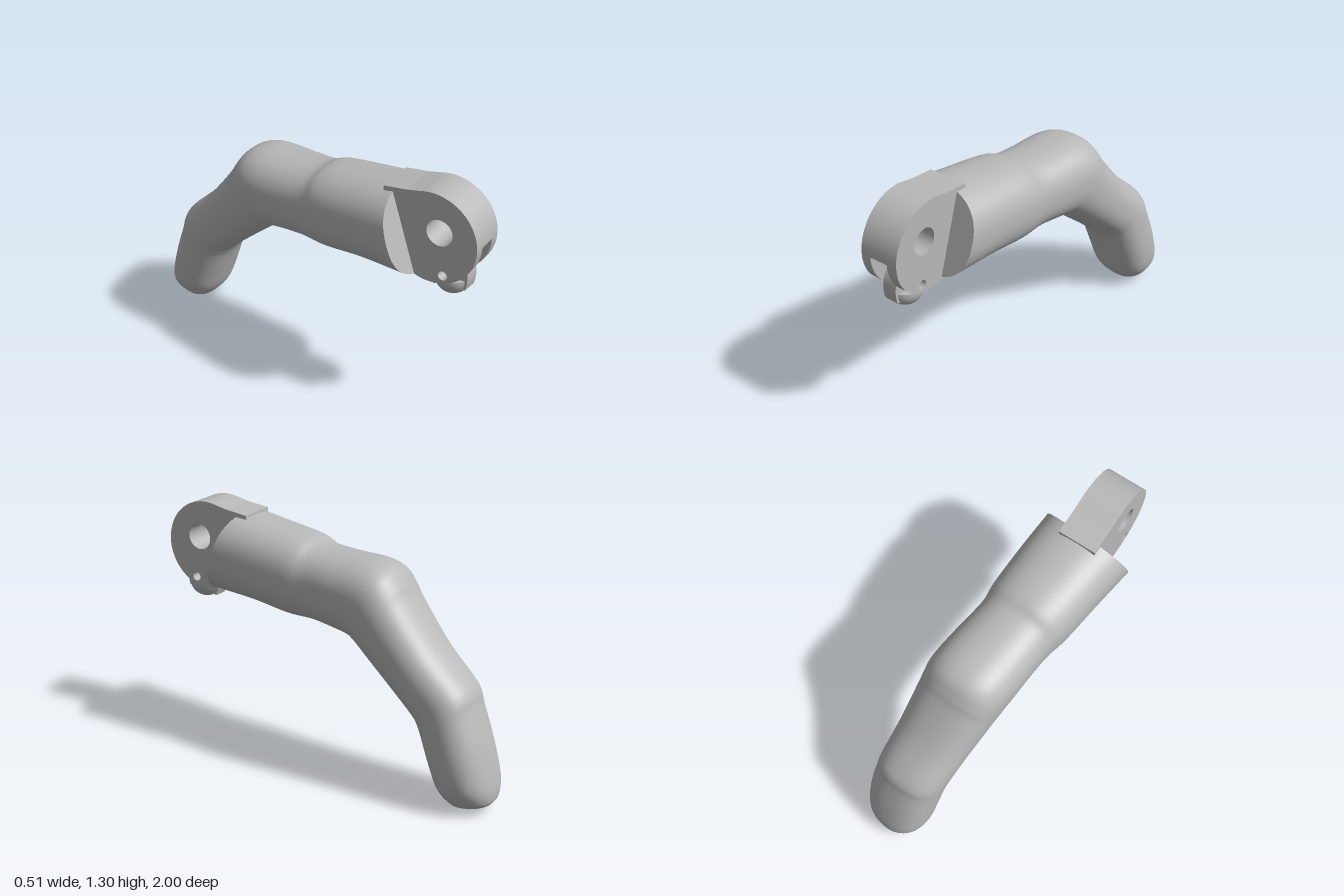
import * as THREE from 'three';

const grey = new THREE.MeshStandardMaterial({ color: 0xb8b8b8 });
grey.name = 'grey plastic';

// Finger sections: top z, top y, bottom z, bottom y, right x, left x
const SECTIONS = [
  [0.55, 1.262, 0.69, 0.835, -0.26, 0.23],
  [0.35, 1.235, 0.42, 0.82, -0.24, 0.23],
  [0.14, 1.205, 0.2, 0.79, -0.222, 0.225],
  [0.05, 1.172, 0.05, 0.788, -0.2, 0.213],
  [-0.1, 1.16, -0.08, 0.775, -0.195, 0.225],
  [-0.28, 1.155, -0.18, 0.757, -0.195, 0.235],
  [-0.38, 1.125, -0.215, 0.737, -0.19, 0.24],
  [-0.44, 1.06, -0.25, 0.71, -0.183, 0.24],
  [-0.49, 0.985, -0.3, 0.668, -0.173, 0.24],
  [-0.65, 0.79, -0.45, 0.54, -0.148, 0.238],
  [-0.8, 0.65, -0.56, 0.44, -0.133, 0.24],
  [-0.85, 0.59, -0.59, 0.4, -0.128, 0.243],
  [-0.875, 0.52, -0.615, 0.35, -0.122, 0.247],
  [-0.94, 0.35, -0.665, 0.22, -0.113, 0.253],
  [-0.99, 0.18, -0.71, 0.11, -0.1, 0.243],
  [-1.0, 0.1, -0.765, 0.04, -0.06, 0.205],
  [-0.985, 0.055, -0.81, 0.01, -0.01, 0.155],
  [-0.92, 0.025, -0.87, 0.01, 0.065, 0.08],
];

// Smooth loft of rounded cross-sections along the bent finger
function loftFinger() {
  const tops = new THREE.CatmullRomCurve3(
    SECTIONS.map((s) => new THREE.Vector3(s[4], s[1], s[0])), false, 'catmullrom', 0.5);
  const bottoms = new THREE.CatmullRomCurve3(
    SECTIONS.map((s) => new THREE.Vector3(s[5], s[3], s[2])), false, 'catmullrom', 0.5);
  const steps = 102, sides = 64;
  const pos = [], index = [];
  const round = (v) => Math.sign(v) * Math.abs(v) ** (2 / 2.4);
  for (let i = 0; i <= steps; i++) {
    const a = tops.getPoint(i / steps), b = bottoms.getPoint(i / steps);
    for (let j = 0; j < sides; j++) {
      const t = (j / sides) * Math.PI * 2;
      const c = round(Math.cos(t)), s = round(Math.sin(t));
      pos.push(
        (a.x + b.x) / 2 + ((b.x - a.x) / 2) * c,
        Math.max(0, (a.y + b.y) / 2 + ((a.y - b.y) / 2) * s),
        (a.z + b.z) / 2 + ((a.z - b.z) / 2) * s,
      );
      if (i < steps) {
        const p = i * sides + j, q = i * sides + ((j + 1) % sides);
        index.push(p, p + sides, q, q, p + sides, q + sides);
      }
    }
  }
  // Rounded tip closes on a single point
  const last = steps * sides, tip = pos.length / 3;
  pos.push(0.0725, 0.016, -0.896);
  for (let j = 0; j < sides; j++) index.push(last + j, tip, last + ((j + 1) % sides));
  const skin = new THREE.BufferGeometry();
  skin.setAttribute('position', new THREE.Float32BufferAttribute(pos, 3));
  skin.setIndex(index);
  skin.computeVertexNormals();

  // Flat slanted face at the open end
  const facePos = pos.slice(0, sides * 3), faceIndex = [];
  facePos.push(-0.015, 1.0485, 0.62);
  for (let j = 0; j < sides; j++) faceIndex.push(sides, j, (j + 1) % sides);
  const face = new THREE.BufferGeometry();
  face.setAttribute('position', new THREE.Float32BufferAttribute(facePos, 3));
  face.setIndex(faceIndex);
  face.computeVertexNormals();
  return { skin, face };
}

function mesh(name, geometry, parent) {
  const m = new THREE.Mesh(geometry, grey);
  m.name = name;
  parent.add(m);
  return m;
}

// Extrudes a (z, y) outline across x
function slab(shape, x0, x1) {
  const g = new THREE.ExtrudeGeometry(shape, { depth: x1 - x0, bevelEnabled: false, curveSegments: 40 });
  g.rotateY(-Math.PI / 2);
  g.translate(x1, 0, 0);
  return g;
}

// Rounded hinge outline with two pin holes; the middle layer has a front slot
function hingeShape(slotted) {
  const rad = THREE.MathUtils.degToRad;
  const cz = 0.757, cy = 1.069, r = 0.238;
  const s = new THREE.Shape();
  s.moveTo(0.48, 1.0);
  s.lineTo(0.5, 1.266);
  s.lineTo(0.62, 1.282);
  if (slotted) {
    s.absarc(cz, cy, r, rad(105), 0, true);
    s.lineTo(0.9, 1.04);
    s.lineTo(0.875, 0.95);
    s.lineTo(0.861, 0.86);
    s.absarc(cz, cy, r, rad(-64), rad(-108), true);
  } else {
    s.absarc(cz, cy, r, rad(105), rad(-108), true);
  }
  s.lineTo(0.6, 0.87);
  s.closePath();
  for (const [z, y, hole] of [[0.8, 1.11, 0.068], [0.83, 0.885, 0.024]]) {
    const h = new THREE.Path();
    h.absarc(z, y, hole, 0, Math.PI * 2, false);
    s.holes.push(h);
  }
  return s;
}

export function createModel() {
  const model = new THREE.Group();
  model.name = 'jointedFinger';

  const { skin, face } = loftFinger();
  mesh('fingerBody', skin, model);
  mesh('fingerEndFace', face, model);

  // Hinge knuckle, turned slightly sideways
  const hinge = new THREE.Group();
  hinge.name = 'hinge';
  hinge.rotation.y = 0.065;
  hinge.position.x = -0.052;
  model.add(hinge);
  mesh('hingeCheekLeft', slab(hingeShape(false), 0.045, 0.1), hinge);
  mesh('hingeCore', slab(hingeShape(true), -0.053, 0.045), hinge);
  mesh('hingeCheekRight', slab(hingeShape(false), -0.105, -0.053), hinge);

  // Cord guide: half-round knob, front tab in the slot, rear nub
  const guide = new THREE.Group();
  guide.name = 'cordGuide';
  model.add(guide);
  const cut = 0.01, r = 0.092;
  const start = Math.acos(cut / r);
  const knob = mesh('guideKnob', new THREE.SphereGeometry(r, 40, 24, 0, Math.PI * 2, start, Math.PI - start), guide);
  knob.position.set(0, 0.844, 0.837);
  const lid = mesh('guideKnobTop', new THREE.CircleGeometry(Math.sqrt(r * r - cut * cut), 40).rotateX(-Math.PI / 2), guide);
  lid.position.set(0, 0.844 + cut, 0.837);

  const tab = new THREE.Shape();
  tab.moveTo(0.86, 0.805);
  tab.lineTo(0.925, 0.805);
  tab.quadraticCurveTo(0.955, 0.91, 0.885, 0.98);
  tab.lineTo(0.872, 0.95);
  tab.closePath();
  mesh('guideTab', slab(tab, -0.04, 0.04), guide);

  const nub = mesh('guideNub', new THREE.BoxGeometry(0.07, 0.04, 0.06), guide);
  nub.position.set(0, 0.802, 0.77);
  nub.rotation.x = -0.35;

  return model;
}
